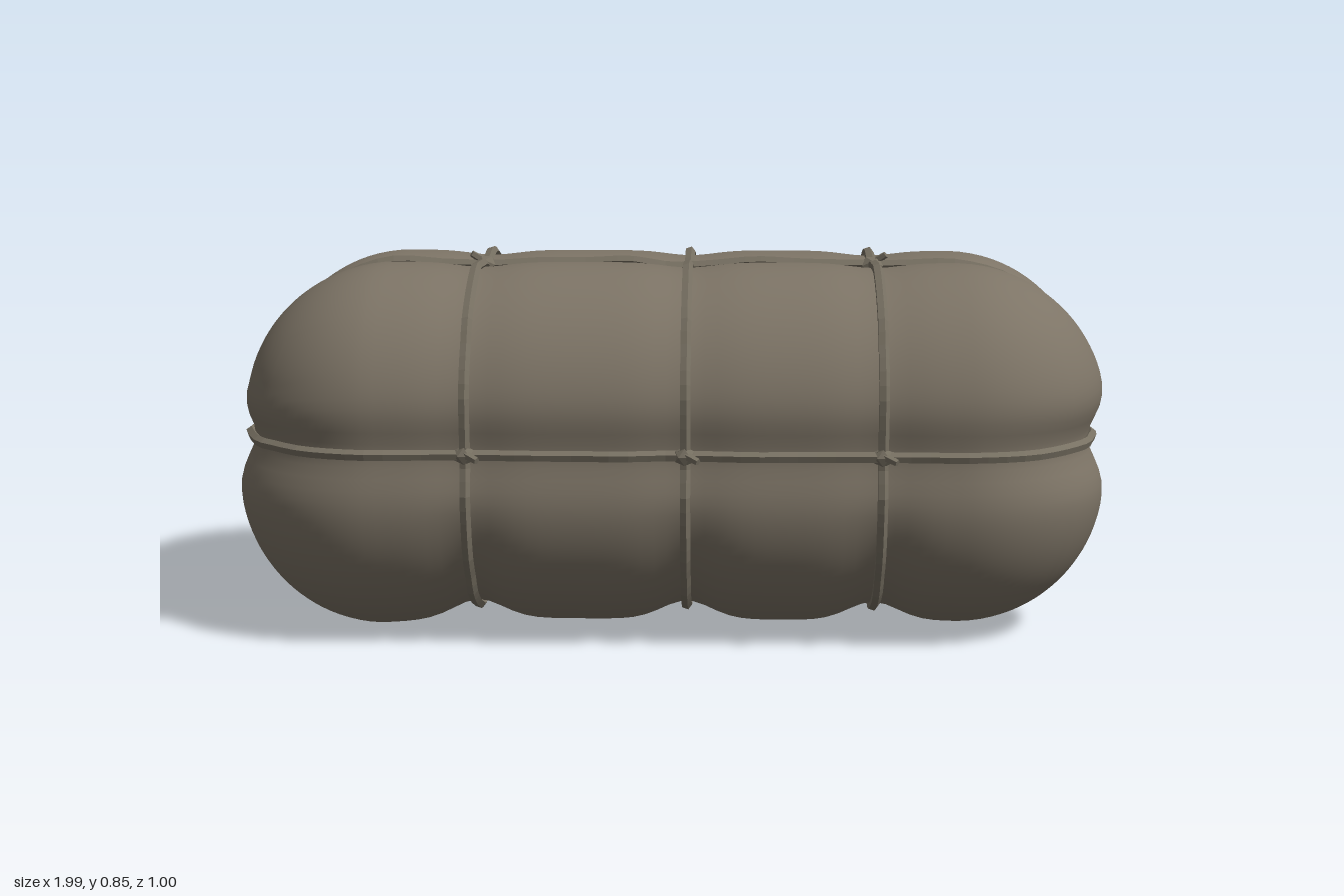
import * as THREE from 'three';
import { mergeVertices } from 'three/addons/utils/BufferGeometryUtils.js';

const HALF = new THREE.Vector3(0.998, 0.413, 0.487); // half extents of the bundle
const ROUND = 0.34;                                  // corner radius
const MID_Y = 0.423;                                 // height of the bundle's centre
const RINGS = [-0.44, 0.04, 0.47];                   // x of the three crosswise ropes
const BELT_Y = 0.452;                                // height of the lengthwise belt
const INNER = HALF.clone().subScalar(ROUND);

const dent = (d, width) => Math.exp(-((d / width) ** 2));

// Maps a point on the plain box to the rounded bundle, pinched in where ropes run
function bundlePoint(p, lift = 0) {
  const core = p.clone().clamp(INNER.clone().negate(), INNER);
  const n = p.clone().sub(core).normalize();
  const s = core.addScaledVector(n, ROUND);
  s.y += MID_Y;
  const under = Math.max(0, -n.y), end = Math.abs(n.x);
  let depth = 0;
  for (const x of RINGS) depth += (0.012 + 0.032 * under) * dent(s.x - x, 0.08);
  depth += (0.018 + 0.055 * under + 0.028 * end) * dent(s.z, 0.06 + 0.04 * under);
  depth += (0.018 + 0.022 * end) * dent(s.y - BELT_Y, 0.07);
  // the lower left end sags a little, the upper left end is drawn in
  const left = THREE.MathUtils.smoothstep(-s.x, 0.44, 0.7);
  s.y -= 0.014 * left * under;
  if (n.x < 0 && n.y > 0) depth += 0.02 * end * Math.min(1, n.y * 4);
  return s.addScaledVector(n, lift - depth);
}

function faceted(geometry) {
  const g = geometry.index ? geometry.toNonIndexed() : geometry;
  g.computeVertexNormals();
  return g;
}

// Closed rope following the bundle; toBox turns a (cos, sin) pair into a box direction
function ropeGeometry(toBox, count) {
  const points = [];
  for (let i = 0; i < count; i++) {
    const a = (i / count) * Math.PI * 2;
    points.push(bundlePoint(toBox(Math.cos(a), Math.sin(a)), 0.008 + 0.003 * Math.sin(i * 2.3)));
  }
  const path = new THREE.CatmullRomCurve3(points, true);
  return faceted(new THREE.TubeGeometry(path, count * 2, 0.0125, 5, true));
}

// Pushes a direction out to the edge of a rectangle
function onRectangle(a, b, halfA, halfB) {
  const k = 1 / Math.max(Math.abs(a), Math.abs(b));
  return [a * k * halfA, b * k * halfB];
}

export function createModel() {
  const group = new THREE.Group();
  const cloth = new THREE.MeshStandardMaterial({ color: 0x7d7466 });
  cloth.name = 'cloth';
  const cord = new THREE.MeshStandardMaterial({ color: 0x777062 });
  cord.name = 'cord';

  const add = (name, geometry, material, parent = group) => {
    const mesh = new THREE.Mesh(geometry, material);
    mesh.name = name;
    parent.add(mesh);
    return mesh;
  };

  // Soft wrapped bundle
  let body = new THREE.BoxGeometry(HALF.x * 2, HALF.y * 2, HALF.z * 2, 72, 32, 36);
  body.deleteAttribute('uv');
  body.deleteAttribute('normal');
  body = mergeVertices(body, 1e-4);
  const pos = body.attributes.position;
  const v = new THREE.Vector3();
  for (let i = 0; i < pos.count; i++) {
    const s = bundlePoint(v.fromBufferAttribute(pos, i));
    pos.setXYZ(i, s.x, s.y, s.z);
  }
  body.computeVertexNormals();
  add('bundle', body, cloth);

  // Three ropes around the girth
  for (const x of RINGS) {
    add('girthRope', ropeGeometry((a, b) => {
      const [z, y] = onRectangle(a, b, HALF.z, HALF.y);
      return new THREE.Vector3(x, y, z);
    }, 48), cord);
  }

  // Lengthwise ropes: a level belt and an upright loop
  add('beltRope', ropeGeometry((a, b) => {
    const [x, z] = onRectangle(a, b, HALF.x, HALF.z);
    return new THREE.Vector3(x, BELT_Y - MID_Y, z);
  }, 64), cord);
  add('uprightRope', ropeGeometry((a, b) => {
    const [x, y] = onRectangle(a, b, HALF.x, HALF.y);
    return new THREE.Vector3(x, y, 0);
  }, 64), cord);

  // Knots where the ropes cross
  const lump = faceted(new THREE.IcosahedronGeometry(1, 0));
  const tail = faceted(new THREE.CylinderGeometry(0.008, 0.011, 0.05, 5));
  const addKnot = (boxPoint, size, turn) => {
    const knot = new THREE.Group();
    knot.name = 'knot';
    knot.position.copy(bundlePoint(boxPoint, 0.012));
    const out = new THREE.Vector3(0, Math.sign(boxPoint.y), 0);
    if (Math.abs(boxPoint.z) > 0.1) out.set(0, 0, Math.sign(boxPoint.z));
    knot.quaternion.setFromUnitVectors(new THREE.Vector3(0, 1, 0), out);
    add('knotLump', lump, cord, knot).scale.set(size, size * 0.8, size * 0.9);
    const end = add('knotTail', tail, cord, knot);
    end.position.set(size * 0.4 * turn, size * 0.45, 0);
    end.rotation.set(0.5, 0, -0.9 * turn);
    group.add(knot);
  };
  RINGS.forEach((x, i) => {
    for (const side of [-1, 1]) {
      addKnot(new THREE.Vector3(x, BELT_Y - MID_Y, side * HALF.z), 0.025, side);
    }
    if (i === 1) return;
    addKnot(new THREE.Vector3(x, HALF.y, 0), 0.029, i - 1);
    addKnot(new THREE.Vector3(x, -HALF.y, 0), 0.025, 1 - i);
  });

  return group;
}
